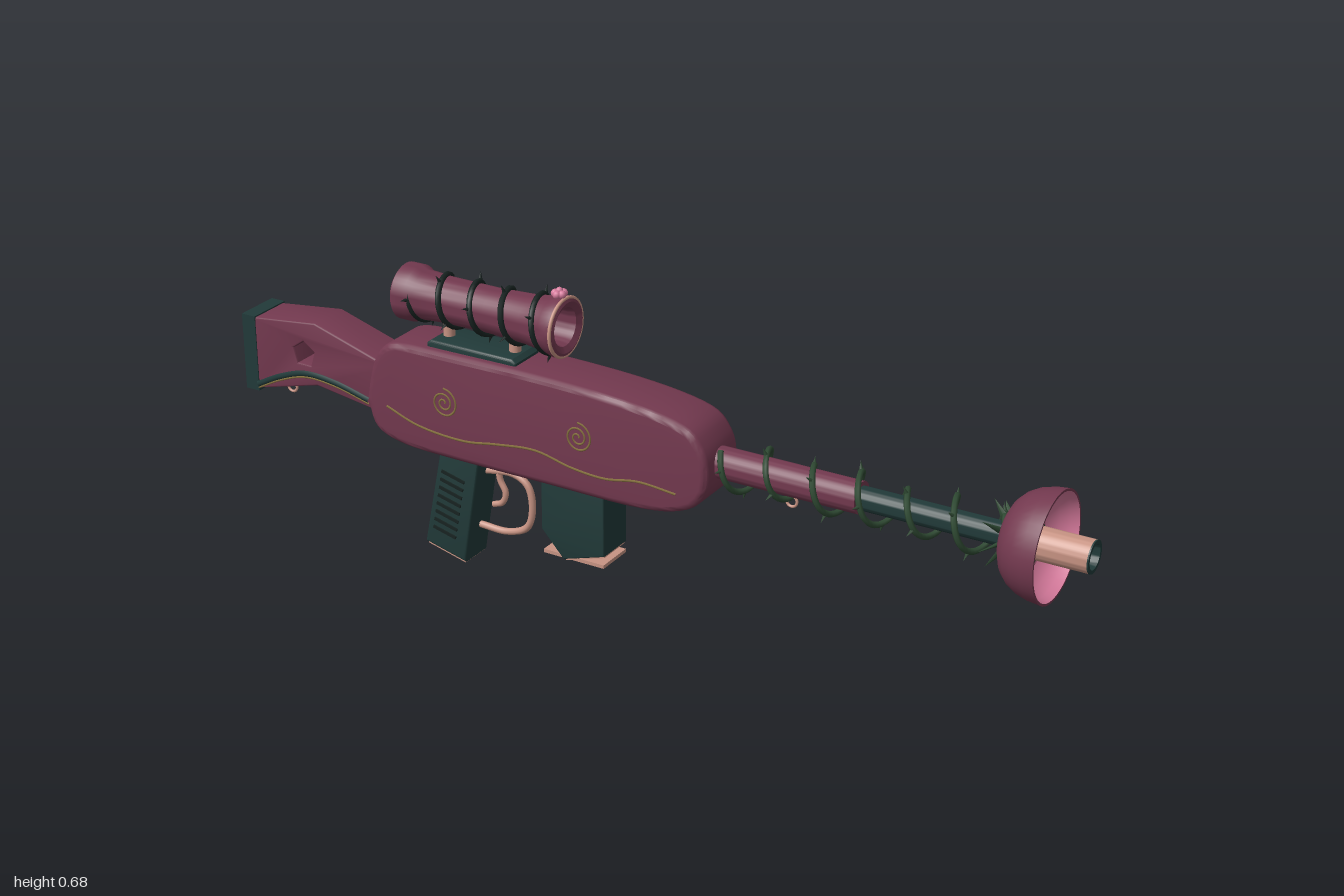
import * as THREE from 'three';
import { toCreasedNormals } from 'three/addons/utils/BufferGeometryUtils.js';

const V = (x, y, z = 0) => new THREE.Vector3(x, y, z);
const mat = (name, color, side = THREE.FrontSide) => {
  const m = new THREE.MeshStandardMaterial({ color, side });
  m.name = name;
  return m;
};

export function createModel() {
  const plum = mat('plum', 0x73394f);
  const pink = mat('pink', 0xd67a9c);
  const dark = mat('darkTeal', 0x213a39);
  const tan = mat('roseCopper', 0xc79383);
  const vine = mat('vineGreen', 0x2f4a33);
  const black = mat('blackGreen', 0x182321);
  const gold = mat('oldGold', 0x85703f);

  const root = new THREE.Group();
  root.name = 'flowerBlaster';
  const model = new THREE.Group();
  model.name = 'blaster';
  model.position.z = 0.015;
  root.add(model);

  const add = (name, geo, m, x = 0, y = 0, z = 0) => {
    const mesh = new THREE.Mesh(geo, m);
    mesh.name = name;
    mesh.position.set(x, y, z);
    model.add(mesh);
    return mesh;
  };
  const box = (name, w, h, d, m, x, y, z) => add(name, new THREE.BoxGeometry(w, h, d), m, x, y, z);
  // Solid cut from a side outline, centred on z
  const slab = (name, shape, half, bevel, m) => {
    let g = new THREE.ExtrudeGeometry(shape, {
      depth: 2 * (half - bevel), curveSegments: 16, bevelEnabled: bevel > 0,
      bevelThickness: bevel, bevelSize: bevel, bevelOffset: -bevel, bevelSegments: 3,
    });
    g.translate(0, 0, bevel - half);
    return add(name, toCreasedNormals(g, 0.6), m);
  };
  const outline = pts => new THREE.Shape(pts.map(p => new THREE.Vector2(...p)));
  // Turned part along x from [radius, x] pairs
  const turned = (name, pts, m, y, x = 0) => {
    let g = new THREE.LatheGeometry(pts.map(p => new THREE.Vector2(...p)), 40);
    g.rotateZ(-Math.PI / 2);
    return add(name, toCreasedNormals(g, 0.6), m, x, y, 0);
  };
  const tube = (name, pts, r, m, n = 40, sides = 8) =>
    add(name, new THREE.TubeGeometry(new THREE.CatmullRomCurve3(pts), n, r, sides), m);
  const ringX = (name, R, r, m, x, y) =>
    add(name, new THREE.TorusGeometry(R, r, 10, 40).rotateY(Math.PI / 2), m, x, y, 0);
  const cone = (name, r, h, m, at, dir) => {
    const c = add(name, new THREE.ConeGeometry(r, h, 6).translate(0, h / 2, 0), m, at.x, at.y, at.z);
    c.quaternion.setFromUnitVectors(V(0, 1, 0), dir.clone().normalize());
    return c;
  };
  // Climbing vine with thorns, wound around an x axis
  const climb = (name, x0, x1, y, radius, turns, r, m, thorns) => {
    const at = (t, k = radius) => {
      const a = t * turns * Math.PI * 2 + 0.6;
      return V(x0 + (x1 - x0) * t, y + k(t) * Math.cos(a), k(t) * Math.sin(a));
    };
    const pts = [];
    for (let i = 0; i <= turns * 14; i++) pts.push(at(i / (turns * 14)));
    tube(name, pts, r, m, Math.round(turns * 28), 6);
    for (let i = 0; i < thorns; i++) {
      const p = at((i + 0.5) / thorns);
      const out = V(-0.012, p.y - y, p.z);
      cone(name + 'Thorn', r * 0.8, 0.022, m, p, out);
    }
  };

  // Body
  const hull = new THREE.SplineCurve([
    [-0.655, 0.36], [-0.635, 0.295], [-0.57, 0.268], [-0.45, 0.262], [-0.2, 0.262], [0.02, 0.263],
    [0.13, 0.283], [0.18, 0.325], [0.19, 0.385], [0.175, 0.437], [0.13, 0.475], [0, 0.497],
    [-0.2, 0.506], [-0.45, 0.505], [-0.57, 0.502], [-0.615, 0.48], [-0.64, 0.43],
  ].concat([[-0.655, 0.36]]).map(p => new THREE.Vector2(...p)));
  slab('body', new THREE.Shape(hull.getPoints(80).slice(0, -1)), 0.068, 0.014, plum);

  // Stock with a five-sided opening, and butt plate
  const stock = outline([[-0.97, 0.303], [-0.8, 0.347], [-0.6, 0.318], [-0.6, 0.44], [-0.63, 0.443], [-0.8, 0.494], [-0.97, 0.473]]);
  const hole = new THREE.Path();
  for (let i = 0; i < 5; i++) {
    const a = Math.PI / 2 + i * Math.PI * 0.4;
    hole[i ? 'lineTo' : 'moveTo'](-0.833 + 0.03 * Math.cos(a), 0.415 + 0.03 * Math.sin(a));
  }
  hole.closePath();
  stock.holes.push(hole);
  slab('stock', stock, 0.051, 0.004, plum);
  box('buttPlate', 0.035, 0.178, 0.106, dark, -0.98, 0.388, 0);

  // Painted trim on both sides
  for (const s of [1, -1]) {
    const wave = [[-0.6, 0.352], [-0.52, 0.325], [-0.4, 0.316], [-0.32, 0.328], [-0.22, 0.338],
      [-0.13, 0.32], [-0.05, 0.315], [0.03, 0.328], [0.12, 0.322]];
    tube('bodyWave', wave.map(p => V(p[0], p[1], s * 0.0675)), 0.003, gold, 60, 5);
    for (const cx of [-0.45, -0.115]) {
      const pts = [];
      for (let i = 0; i <= 36; i++) {
        const a = i / 36 * Math.PI * 4.5, r = 0.004 + 0.03 * i / 36;
        pts.push(V(cx + r * Math.cos(a), 0.393 + r * Math.sin(a), s * 0.0675));
      }
      tube('bodySpiral', pts, 0.0025, gold, 72, 5);
    }
    const band = [[-0.965, 0.315], [-0.9, 0.348], [-0.83, 0.37], [-0.75, 0.366], [-0.66, 0.345]];
    tube('stockVine', band.map(p => V(p[0], p[1], s * 0.05)), 0.007, dark, 30, 6);
    tube('stockTrim', band.map(p => V(p[0], p[1] - 0.009, s * 0.051)), 0.0025, gold, 30, 5);
  }

  // Back nameplate, left blank
  box('plateFrame', 0.105, 0.056, 0.006, gold, -0.28, 0.39, -0.069);
  box('plateFace', 0.092, 0.044, 0.004, black, -0.28, 0.39, -0.0715);

  // Bolt handle
  tube('boltHandle', [V(-0.505, 0.445, -0.06), V(-0.51, 0.44, -0.085), V(-0.535, 0.37, -0.122)], 0.011, tan, 16);
  add('boltKnob', new THREE.SphereGeometry(0.02, 20, 14), dark, -0.538, 0.361, -0.127);

  // Barrel
  const by = 0.384;
  turned('barrelSleeve', [[0, 0.17], [0.034, 0.17], [0.034, 0.505], [0, 0.505]], plum, by);
  turned('barrelRod', [[0.025, 0.5], [0.025, 0.9]], dark, by);
  turned('muzzleTube', [[0.025, 0.84], [0.034, 0.84], [0.034, 0.994]], tan, by);
  turned('muzzleLip', [[0.034, 0.994], [0.034, 0.997], [0.026, 0.997], [0.024, 0.975], [0, 0.975]], dark, by);
  climb('barrelVine', 0.2, 0.82, by, t => 0.046 + 0.006 * Math.sin(t * 17), 6, 0.0065, vine, 22);

  // Leaves behind the bell
  for (let i = 0; i < 7; i++) {
    const a = i / 7 * Math.PI * 2, d = V(-0.7, Math.cos(a), Math.sin(a));
    const leaf = cone('leaf', 0.012, 0.05, vine, V(0.815, by + 0.03 * Math.cos(a), 0.03 * Math.sin(a)), d);
    leaf.scale.z = 0.4;
  }

  // Flower bell
  turned('bellOuter', [[0.025, 0.822], [0.045, 0.819], [0.06, 0.822], [0.079, 0.832], [0.095, 0.848], [0.106, 0.868],
    [0.113, 0.893], [0.116, 0.92], [0.111, 0.92]], plum, by);
  turned('bellInner', [[0.111, 0.92], [0.106, 0.903], [0.095, 0.885], [0.078, 0.87], [0.06, 0.862], [0.058, 0.872],
    [0.052, 0.872], [0.05, 0.85], [0.03, 0.85]], pink, by);
  ringX('bellVine', 0.042, 0.005, vine, 0.872, by);

  // Grip with ribs
  slab('grip', outline([[-0.53, 0.034], [-0.425, 0.008], [-0.38, 0.28], [-0.48, 0.28]]), 0.043, 0.007, dark);
  const foot = box('gripFoot', 0.1, 0.006, 0.074, tan, -0.476, 0.0195, 0);
  foot.rotation.z = -0.243;
  for (let i = 0; i < 8; i++) {
    const y = 0.07 + i * 0.02;
    for (const s of [1, -1]) {
      const rib = box('gripRib', 0.06, 0.007, 0.006, black, -0.478 + (y - 0.06) * 0.19, y, s * 0.043);
      rib.rotation.z = -0.24;
    }
  }

  // Trigger and guard
  tube('triggerGuard', [V(-0.41, 0.088), V(-0.34, 0.088), V(-0.29, 0.11), V(-0.275, 0.155), V(-0.285, 0.21),
    V(-0.32, 0.23), V(-0.4, 0.222)], 0.008, tan, 48);
  tube('trigger', [V(-0.36, 0.265), V(-0.357, 0.21), V(-0.343, 0.18), V(-0.352, 0.155), V(-0.375, 0.145)], 0.007, tan, 24);

  // Magazine with copper underside and base plate
  slab('magazine', outline([[-0.222, 0.145], [-0.168, 0.086], [-0.067, 0.118], [-0.067, 0.28], [-0.222, 0.28]]), 0.046, 0.003, dark);
  const under = box('magazineUnderside', 0.1, 0.005, 0.082, tan, -0.117, 0.101, 0);
  under.rotation.z = 0.307;
  box('magazinePlate', 0.15, 0.008, 0.09, tan, -0.143, 0.094, 0);

  // Scope mount
  slab('scopeRail', outline([[-0.505, 0.495], [-0.28, 0.495], [-0.28, 0.512], [-0.29, 0.52], [-0.495, 0.52], [-0.505, 0.512]]), 0.046, 0.005, dark);
  for (const x of [-0.477, -0.31])
    add('scopePost', new THREE.CylinderGeometry(0.013, 0.013, 0.05, 16), tan, x, 0.54, 0);

  // Hollow scope
  const sy = 0.6;
  turned('scope', [[0.042, -0.585], [0.055, -0.589], [0.062, -0.583], [0.062, -0.55], [0.054, -0.535], [0.05, -0.48],
    [0.049, -0.36], [0.053, -0.27], [0.06, -0.215], [0.066, -0.195], [0.064, -0.182], [0.055, -0.178],
    [0.042, -0.185], [0.039, -0.2], [0.039, -0.57], [0.042, -0.585]], plum, sy);
  ringX('scopeTrim', 0.063, 0.004, tan, -0.184, sy);
  climb('scopeVine', -0.555, -0.2, sy, t => 0.053 + 0.008 * Math.max(0, t - 0.6) / 0.4, 4.5, 0.0065, black, 16);

  // Blossom on the scope
  for (let i = 0; i < 5; i++) {
    const a = i / 5 * Math.PI * 2;
    add('petal', new THREE.SphereGeometry(0.009, 12, 8), pink, -0.198 + 0.009 * Math.sin(a), 0.672, 0.01 * Math.cos(a));
  }
  add('blossomHeart', new THREE.SphereGeometry(0.008, 12, 8), pink, -0.198, 0.678, 0);

  // Sling rings
  for (const [x, y] of [[-0.91, 0.302], [0.35, 0.337]])
    add('slingRing', new THREE.TorusGeometry(0.012, 0.003, 8, 20), tan, x, y, 0);

  return root;
}
